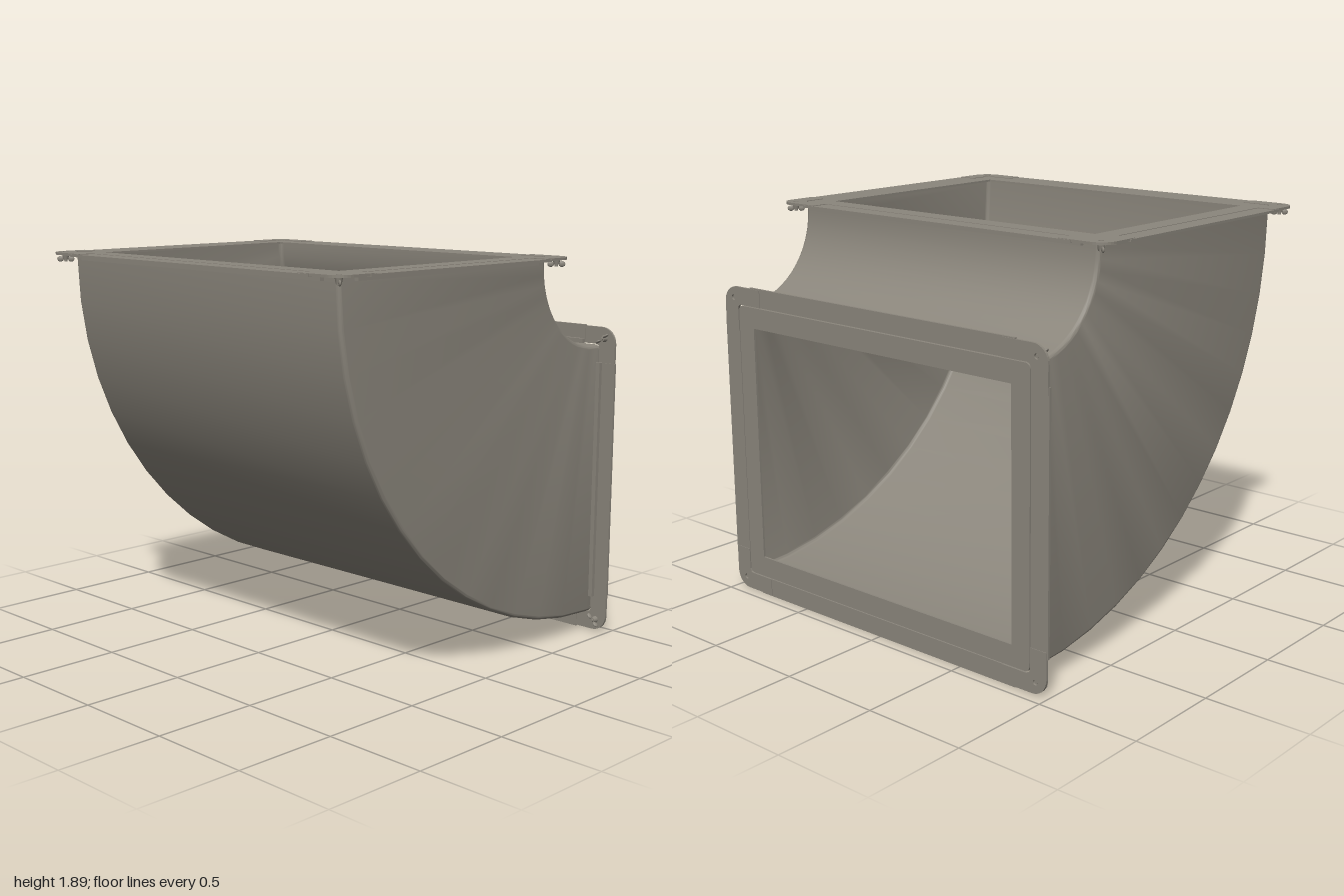
import * as THREE from 'three';
import { toCreasedNormals } from 'three/addons/utils/BufferGeometryUtils.js';

const AXIS_Y = 1.855, AXIS_Z = -0.9075; // bend axis of the elbow
const MID = 1.085;                      // bend radius at the middle of the duct
const HALF_W = 0.9, HALF_D = 0.675;     // half size of the duct section

const sheet = new THREE.MeshStandardMaterial({ color: 0x8b867c, side: THREE.DoubleSide });
sheet.name = 'galvanized sheet';

function add(parent, geometry, name, x = 0, y = 0, z = 0) {
  const mesh = new THREE.Mesh(geometry, sheet);
  mesh.name = name;
  mesh.position.set(x, y, z);
  parent.add(mesh);
  return mesh;
}

function roundedRect(w, h, r) {
  const s = new THREE.Shape();
  s.absarc(w - r, h - r, r, 0, Math.PI / 2);
  s.absarc(-w + r, h - r, r, Math.PI / 2, Math.PI);
  s.absarc(-w + r, -h + r, r, Math.PI, Math.PI * 1.5);
  s.absarc(w - r, -h + r, r, Math.PI * 1.5, Math.PI * 2);
  s.closePath();
  return s;
}

function plate(shape, depth) {
  return new THREE.ExtrudeGeometry(shape, { depth, bevelEnabled: false, curveSegments: 8 });
}

// Rounded rectangular section swept through a quarter turn with short straight ends
function elbowGeometry() {
  const section = roundedRect(HALF_W, HALF_D, 0.02).getPoints(4);
  if (section[0].distanceTo(section[section.length - 1]) < 1e-6) section.pop();
  const steps = 14, stub = 0.03, stations = [[0, stub, 0]];
  for (let i = 0; i <= steps; i++) stations.push([(i / steps) * Math.PI / 2, 0, 0]);
  stations.push([Math.PI / 2, 0, -stub]);

  const positions = [], index = [], n = section.length;
  for (const [a, dy, dz] of stations) {
    for (const p of section) {
      const r = MID + p.y;
      positions.push(p.x, AXIS_Y - r * Math.sin(a) + dy, AXIS_Z + r * Math.cos(a) + dz);
    }
  }
  for (let i = 0; i < stations.length - 1; i++) {
    for (let j = 0; j < n; j++) {
      const a = i * n + j, b = i * n + (j + 1) % n;
      index.push(a, a + n, b, b, a + n, b + n);
    }
  }
  // Faces point out of the duct
  for (let i = 0; i < index.length; i += 3) [index[i + 1], index[i + 2]] = [index[i + 2], index[i + 1]];
  const g = new THREE.BufferGeometry();
  g.setAttribute('position', new THREE.Float32BufferAttribute(positions, 3));
  g.setIndex(index);
  return toCreasedNormals(g, Math.PI / 6);
}

// L-shaped corner plate with a rounded outside and a bolt hole
function cornerShape(sx, sy) {
  const s = new THREE.Shape();
  const r = 0.08, X = 0.995, Y = 0.764;
  const pts = [[0.75, 0.68], [0.75, Y]];
  for (let i = 0; i <= 8; i++) {
    const a = Math.PI / 2 * (1 - i / 8);
    pts.push([X - r + r * Math.cos(a), Y - r + r * Math.sin(a)]);
  }
  pts.push([X, 0.5575], [0.905, 0.5575], [0.905, 0.66], [0.899, 0.674], [0.885, 0.68]);
  s.setFromPoints(pts.map(([x, y]) => new THREE.Vector2(x * sx, y * sy)));
  const hole = new THREE.Path();
  hole.absarc(0.935 * sx, 0.71 * sy, 0.013, 0, Math.PI * 2);
  s.holes.push(hole);
  return s;
}

// Nut with two wings, standing on the duct side of a corner plate
function wingNut(angle) {
  const g = new THREE.Group();
  g.name = 'wingNut';
  const hub = add(g, new THREE.CylinderGeometry(0.013, 0.018, 0.026, 12), 'nutHub', 0, 0, -0.023);
  hub.rotation.x = -Math.PI / 2;
  const stem = add(g, new THREE.CylinderGeometry(0.008, 0.008, 0.04, 10), 'boltStem', 0, 0, -0.026);
  stem.rotation.x = Math.PI / 2;
  for (const s of [-1, 1]) {
    const wing = add(g, new THREE.SphereGeometry(1, 10, 8), 'nutWing', s * 0.026, 0, -0.034);
    wing.scale.set(0.016, 0.006, 0.014);
  }
  g.rotation.z = angle;
  return g;
}

// Flange in its own plane: local z points out of the duct, outer face at z = 0
function flange(name) {
  const g = new THREE.Group();
  g.name = name;

  // Inner frame around the opening
  const ring = roundedRect(0.9, HALF_D, 0.025);
  ring.holes.push(new THREE.Path([[-0.8, -0.575], [-0.8, 0.575], [0.8, 0.575], [0.8, -0.575]]
    .map(([x, y]) => new THREE.Vector2(x, y))));
  add(g, plate(ring, 0.01), 'openingFrame', 0, 0, -0.012);

  for (const s of [-1, 1]) {
    // Rails between the corners, each with a raised lip along the duct wall
    add(g, new THREE.BoxGeometry(1.64, 0.089, 0.012), 'longRail', 0, s * 0.7245, -0.009);
    add(g, new THREE.BoxGeometry(0.095, 1.18, 0.012), 'shortRail', s * 0.9525, 0, -0.009);
    add(g, new THREE.BoxGeometry(1.64, 0.022, 0.02), 'longRailLip', 0, s * 0.69, -0.025);
    add(g, new THREE.BoxGeometry(0.022, 1.18, 0.02), 'shortRailLip', s * 0.915, 0, -0.025);

    for (const t of [-1, 1]) {
      add(g, plate(cornerShape(s, t), 0.012), 'cornerPlate', 0, 0, -0.012);
      const nut = wingNut(s * t > 0 ? Math.PI / 4 : -Math.PI / 5);
      nut.position.set(s * 0.935, t * 0.71, 0);
      g.add(nut);
    }
  }
  return g;
}

export function createModel() {
  const model = new THREE.Group();
  model.name = 'ductElbow';
  add(model, elbowGeometry(), 'elbowShell');

  const top = flange('topFlange');
  top.rotation.x = -Math.PI / 2;
  top.position.set(0, 1.895, AXIS_Z + MID);
  const back = flange('backFlange');
  back.rotation.y = Math.PI;
  back.position.set(0, AXIS_Y - MID, -0.9475);
  model.add(top, back);
  return model;
}
